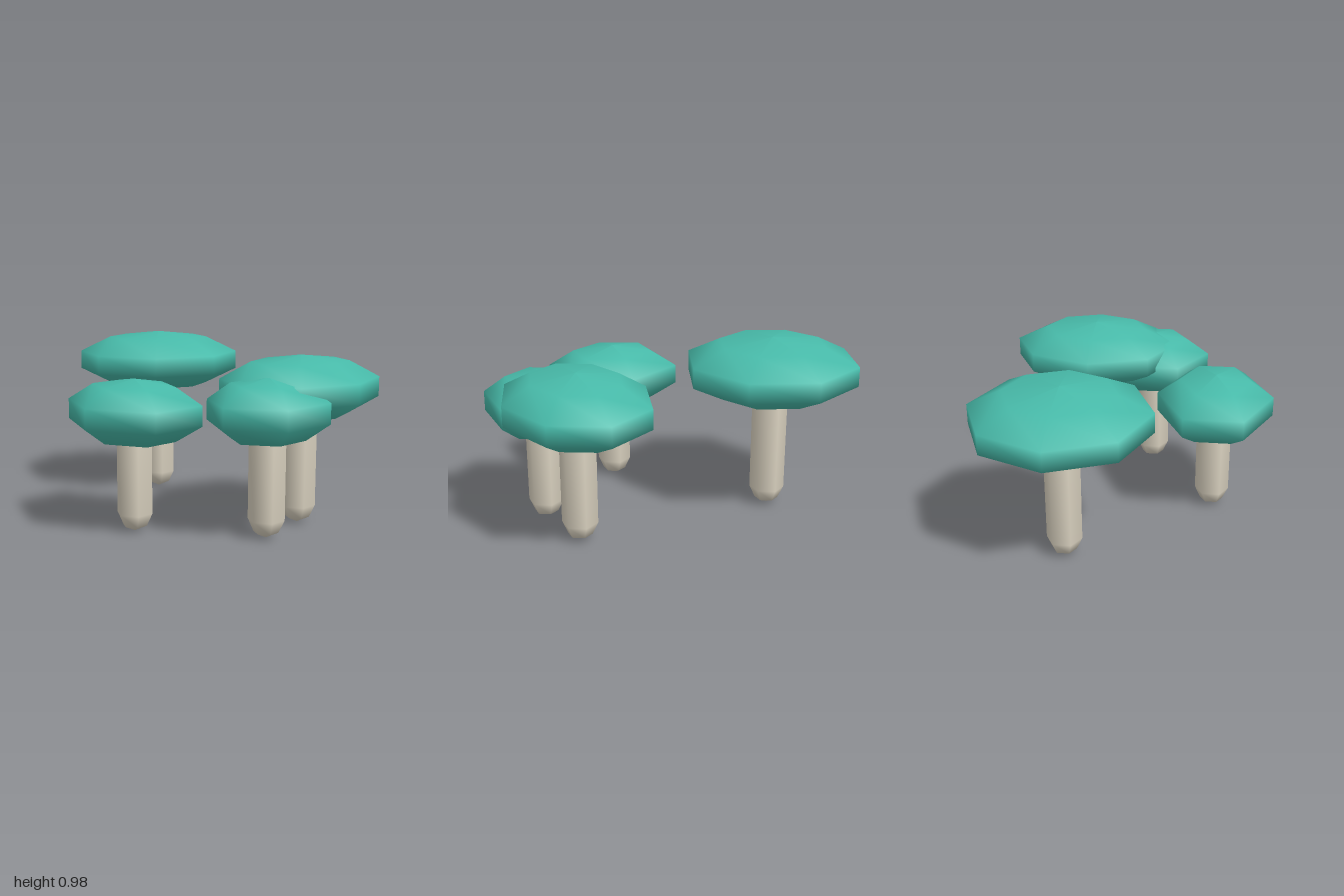
import * as THREE from 'three';

const capMaterial = new THREE.MeshStandardMaterial({ name: 'teal cap', color: 0x48bbaa });
const stemMaterial = new THREE.MeshStandardMaterial({ name: 'pale stem', color: 0xdad2c0 });

// Smooth lathe with few sides and a corner on each side of the x axis
function turned(name, profile, sides, rx, rz, material) {
  const points = profile.map(([r, y]) => new THREE.Vector2(r, y));
  const geometry = new THREE.LatheGeometry(points, sides, Math.PI / 2);
  geometry.scale(rx, 1, rz);
  const mesh = new THREE.Mesh(geometry, material);
  mesh.name = name;
  return mesh;
}

// Flattened cap: domed top and bottom with a straight rim band
function makeCap(y, sides, rx, rz) {
  const band = 0.054, ring = 0.143, tip = 0.177, r = 0.617;
  const profile = [[0, -tip], [r, -ring], [1, -band], [1, band], [r, ring], [0, tip]];
  const cap = turned('cap', profile, sides, rx, rz, capMaterial);
  cap.position.y = y;
  return cap;
}

// Six-sided stem with a rounded foot, ending inside the cap
function makeStem(top) {
  const profile = [[0, 0], [0.68, 0.03], [1, 0.098], [1, top - 0.06], [0.68, top - 0.015], [0, top]];
  return turned('stem', profile, 6, 0.0975, 0.0975, stemMaterial);
}

export function createModel() {
  const model = new THREE.Group();
  model.name = 'mushroomCluster';
  const mushrooms = [
    { name: 'backMushroom', x: 0.304, z: -0.52, y: 0.807, sides: 8, rx: 0.483, rz: 0.48 },
    { name: 'frontMushroom', x: 0.284, z: 0.614, y: 0.747, sides: 8, rx: 0.485, rz: 0.386 },
    { name: 'rightMushroom', x: -0.465, z: 0.113, y: 0.64, sides: 6, rx: 0.327, rz: 0.393 },
    { name: 'smallMushroom', x: -0.064, z: 0.686, y: 0.665, sides: 6, rx: 0.336, rz: 0.312 },
  ];
  for (const m of mushrooms) {
    const mushroom = new THREE.Group();
    mushroom.name = m.name;
    mushroom.add(makeCap(m.y, m.sides, m.rx, m.rz), makeStem(m.y));
    mushroom.position.set(m.x, 0, m.z);
    model.add(mushroom);
  }
  return model;
}
